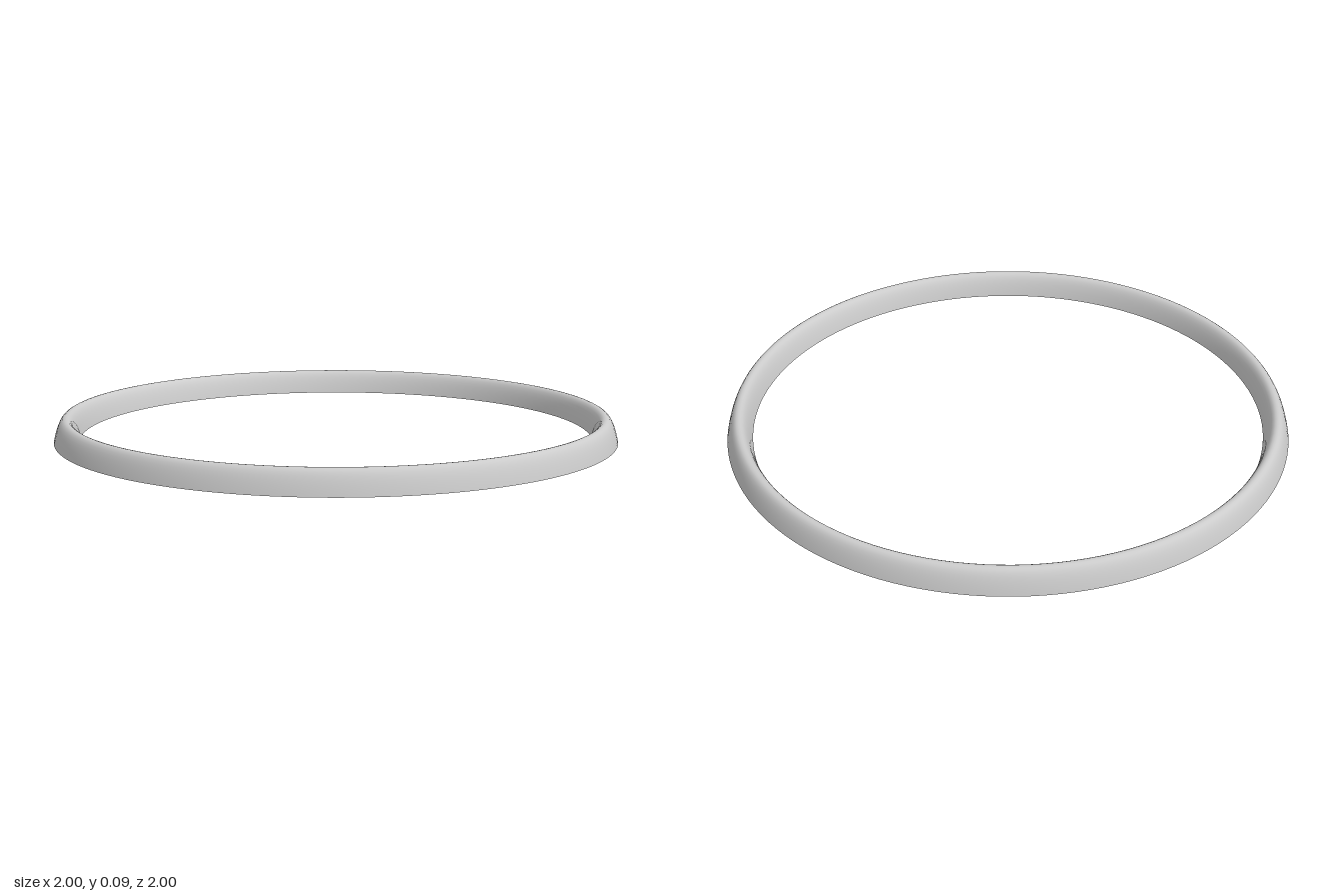
import * as THREE from 'three';

export function createModel() {
  const group = new THREE.Group();
  const material = new THREE.MeshStandardMaterial({ color: 0xcccccc, side: THREE.DoubleSide });

  // Arched cross-section, open underneath, from the outer rim over the crest to the inner rim
  const midRadius = 0.955, halfWidth = 0.045, height = 0.085, steps = 20;
  const profile = [];
  for (let i = 0; i <= steps; i++) {
    const u = Math.cos((Math.PI * i) / steps);
    const y = height * (1 - Math.pow(Math.abs(u), 2.4));
    profile.push(new THREE.Vector2(midRadius + halfWidth * u, y));
  }

  // Hollow ring swept around the vertical axis
  const ring = new THREE.Mesh(new THREE.LatheGeometry(profile, 128), material);
  ring.name = 'ring';
  group.add(ring);
  return group;
}
